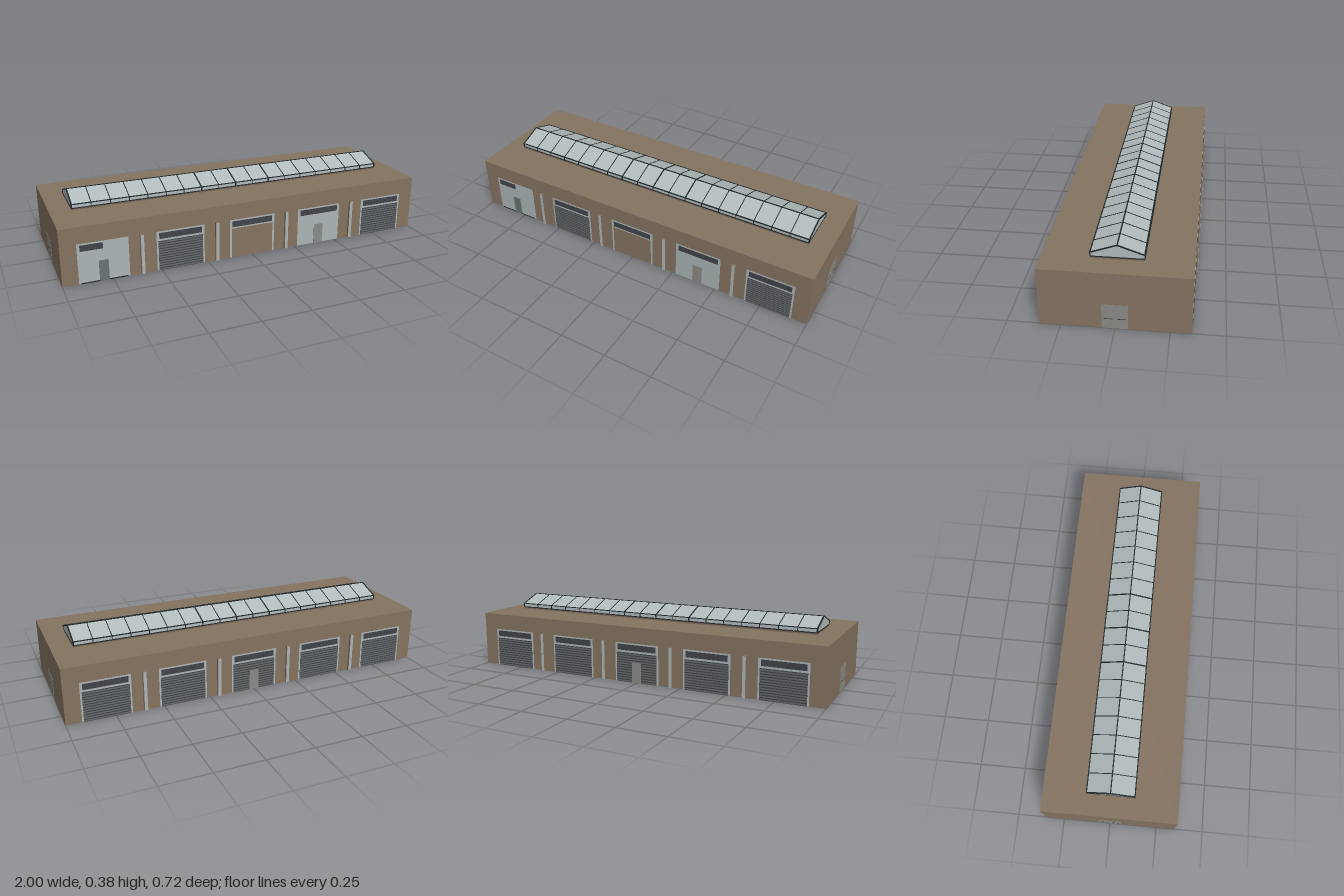
import * as THREE from 'three';

const mat = (name, color) => {
  const m = new THREE.MeshStandardMaterial({ color });
  m.name = name;
  return m;
};

export function createModel() {
  const M = {
    wall: mat('brown wall', 0x857360),
    curb: mat('dark brown curb', 0x5f5044),
    panel: mat('pale panel', 0xabb5b7),
    glass: mat('skylight glass', 0xb2bcbd),
    frame: mat('dark frame', 0x20282a),
    window: mat('dark window', 0x42434a),
    slat: mat('shutter slat', 0x65686b),
    groove: mat('shutter groove', 0x424649),
    door: mat('grey door', 0x8a8b86),
    darkDoor: mat('dark door', 0x6c7173),
  };
  const model = new THREE.Group();
  model.name = 'industrialHall';

  const group = (name, parent = model) => {
    const g = new THREE.Group();
    g.name = name;
    parent.add(g);
    return g;
  };
  // box given by its minimum and maximum corners
  const box = (parent, name, m, x0, x1, y0, y1, z0, z1) => {
    const mesh = new THREE.Mesh(new THREE.BoxGeometry(x1 - x0, y1 - y0, z1 - z0), m);
    mesh.position.set((x0 + x1) / 2, (y0 + y1) / 2, (z0 + z1) / 2);
    mesh.name = name;
    parent.add(mesh);
    return mesh;
  };

  // Main hall
  const D = 0.348, H = 0.298;
  box(model, 'hall', M.wall, -1, 1, 0, H, -D, D);

  // One bay: pale surround, high window and an infill of the given kind
  function bay(parent, cx, kind) {
    const g = group(kind + 'Bay', parent);
    g.position.set(cx, 0, D);
    box(g, 'surround', M.panel, -0.127, 0.127, 0, 0.211, -0.001, 0.001);
    const half = kind === 'office';
    box(g, 'highWindow', M.window, -0.113, half ? 0 : 0.113, 0.171, 0.203, 0, 0.002);
    if (kind === 'shutter' || kind === 'gate') {
      box(g, 'shutterBack', M.groove, -0.118, 0.118, 0, 0.16, 0, 0.002);
      for (let i = 0; i < 12; i++) {
        const y = 0.003 + i * 0.0132;
        box(g, 'shutterSlat', M.slat, -0.118, 0.118, y, y + 0.007, 0, 0.0035);
      }
    }
    if (kind === 'brick') box(g, 'infill', M.wall, -0.116, 0.116, 0, 0.163, 0, 0.002);
    if (kind === 'office') {
      box(g, 'door', M.darkDoor, -0.025, 0.023, 0, 0.11, 0, 0.003);
      box(g, 'threshold', M.frame, -0.117, 0.117, 0, 0.005, 0, 0.0025);
    }
    if (kind === 'entrance' || kind === 'gate') {
      box(g, 'door', M.door, -0.026, 0.026, 0, 0.11, 0, 0.0045);
    }
  }

  // Long facades with five bays and four pilasters each
  function facade(name, kinds, angle) {
    const g = group(name);
    g.rotation.y = angle;
    kinds.forEach((kind, i) => bay(g, (i - 2) * 0.396, kind));
    for (const x of [-0.597, -0.199, 0.199, 0.597]) {
      box(g, 'pilaster', M.wall, x - 0.011, x + 0.011, 0, 0.213, D - 0.005, 0.357);
      box(g, 'pilasterFace', M.panel, x - 0.008, x + 0.008, 0, 0.211, 0.356, 0.358);
    }
  }
  facade('frontFacade', ['office', 'shutter', 'brick', 'entrance', 'shutter'], 0);
  facade('backFacade', ['shutter', 'shutter', 'gate', 'shutter', 'shutter'], Math.PI);

  // Double doors with push bars on both ends
  for (const s of [1, -1]) {
    const g = group(s > 0 ? 'leftEndDoors' : 'rightEndDoors');
    g.rotation.y = s * Math.PI / 2;
    for (const k of [-1, 1]) {
      const c = k * 0.03;
      box(g, 'doorLeaf', M.door, c - 0.03, c + 0.03, 0, 0.13, 0.999, 1.001);
      box(g, 'pushBar', M.frame, c - 0.02, c + 0.02, 0.052, 0.0545, 1, 1.002);
    }
  }

  // Roof skylight: curb, glass prism and glazing bars
  const sky = group('skylight');
  const L = 0.89, W = 0.123, Y0 = 0.31, Y1 = 0.33, Y2 = 0.374;
  box(sky, 'curb', M.wall, -L, L, H - 0.002, 0.304, -W, W);
  box(sky, 'curbCap', M.curb, -L, L, 0.304, Y0, -W, W);

  const section = new THREE.Shape([[-W, Y0], [W, Y0], [W, Y1], [0, Y2], [-W, Y1]]
    .map(([a, b]) => new THREE.Vector2(a, b)));
  const glassGeo = new THREE.ExtrudeGeometry(section, { depth: 2 * L, bevelEnabled: false });
  glassGeo.translate(0, 0, -L).rotateY(Math.PI / 2);
  const glass = new THREE.Mesh(glassGeo, M.glass);
  glass.name = 'glazing';
  sky.add(glass);

  const slope = Math.atan2(Y2 - Y1, W), run = Math.hypot(Y2 - Y1, W);
  for (let i = 0; i <= 18; i++) {
    const end = i === 0 || i === 18;
    const x = -L + i * (2 * L / 18);
    const t = end || i === 7 || i === 9 || i === 11 ? 0.0035 : 0.002;
    for (const s of [-1, 1]) {
      const rafter = box(sky, 'rafter', M.frame, x - t, x + t, -0.002, 0.002, -run / 2, run / 2);
      rafter.position.set(x, (Y1 + Y2) / 2, s * W / 2);
      rafter.rotation.x = s * slope;
      box(sky, 'post', M.frame, x - t, x + t, Y0, Y1, s * W - 0.002, s * W + 0.002);
    }
  }
  for (const [y, z] of [[Y0, W], [Y0, -W], [Y1, W], [Y1, -W], [Y2, 0]]) {
    box(sky, 'rail', M.frame, -L, L, y - 0.002, y + 0.002, z - 0.003, z + 0.003);
  }
  for (const x of [-L, L]) {
    box(sky, 'gableSill', M.frame, x - 0.002, x + 0.002, Y0 - 0.002, Y0 + 0.002, -W, W);
  }
  return model;
}
